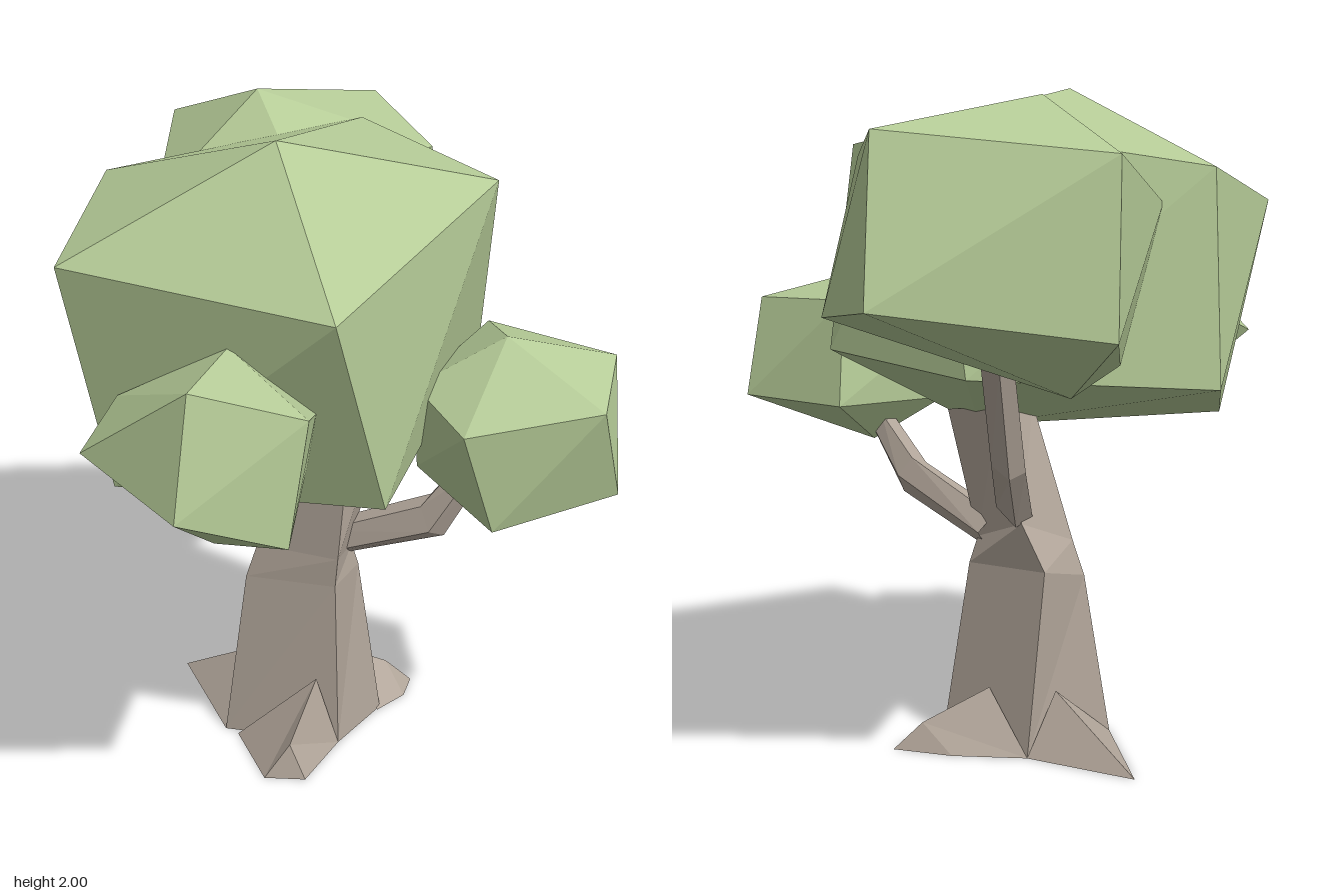
import * as THREE from 'three';
import { ConvexGeometry } from 'three/addons/geometries/ConvexGeometry.js';

const leaf = new THREE.MeshStandardMaterial({ color: 0xb5cb97, flatShading: true });
const bark = new THREE.MeshStandardMaterial({ color: 0xb3a79b, flatShading: true, side: THREE.DoubleSide });

// Faceted crown spanned by a few corner points
function crown(name, corners) {
  const geometry = new ConvexGeometry(corners.map((c) => new THREE.Vector3(...c)));
  const mesh = new THREE.Mesh(geometry, leaf);
  mesh.name = name;
  return mesh;
}

// Bark skin through sections of equal point count: open at the start, capped at the end.
// A closed section is a full ring; an open one is an arch standing on the ground.
function loft(name, sections, closed = true) {
  const n = sections[0].length;
  const index = [];
  for (let s = 0; s < sections.length - 1; s++) {
    for (let i = 0; i < (closed ? n : n - 1); i++) {
      const a = s * n + i, b = s * n + ((i + 1) % n);
      index.push(a, a + n, b, b, a + n, b + n);
    }
  }
  const end = (sections.length - 1) * n;
  for (let i = 1; i < n - 1; i++) index.push(end, end + i + 1, end + i);
  const geometry = new THREE.BufferGeometry();
  geometry.setAttribute('position', new THREE.Float32BufferAttribute(sections.flat(2), 3));
  geometry.setIndex(index);
  geometry.computeVertexNormals();
  const mesh = new THREE.Mesh(geometry, bark);
  mesh.name = name;
  return mesh;
}

// Five-sided branch section, tilted forward about the x axis
function ring(x, y, z, width, depth, tilt) {
  return Array.from({ length: 5 }, (_, i) => {
    const a = (i / 5) * Math.PI * 2;
    const v = depth * Math.sin(a);
    return [x + width * Math.cos(a), y - v * Math.sin(tilt), z + v * Math.cos(tilt)];
  });
}

export function createModel() {
  const tree = new THREE.Group();
  tree.name = 'tree';

  // Four-sided leaning trunk: right front, left front, left back, right back corners
  tree.add(loft('trunk', [
    [[0.27, 0, 0.13], [0.02, 0, 0.2], [-0.2, 0, -0.1], [0.15, 0, -0.2]],
    [[0.19, 0.55, 0.1], [0, 0.57, 0.2], [-0.1, 0.52, -0.11], [0.09, 0.57, -0.2]],
    [[0.16, 0.63, 0.1], [0.01, 0.66, 0.2], [-0.07, 0.63, -0.09], [0.13, 0.71, -0.13]],
    [[0.24, 1.03, 0.14], [0.05, 1.02, 0.2], [0.02, 1.05, 0], [0.17, 1.06, -0.06]],
  ]));

  // Bent branches
  tree.add(loft('frontBranch', [
    ring(0.12, 0.65, 0.06, 0.06, 0.06, 1.2),
    ring(0.26, 0.79, 0.36, 0.05, 0.07, 1.1),
    ring(0.33, 0.97, 0.45, 0.04, 0.045, 0.4),
  ]));
  tree.add(loft('backBranch', [
    ring(0.13, 0.76, -0.08, 0.06, 0.08, -0.9),
    ring(0.25, 0.93, -0.27, 0.055, 0.06, -0.8),
    ring(0.36, 1.25, -0.41, 0.05, 0.05, -0.3),
  ]));

  // Roots as arches running outward from the trunk foot
  tree.add(loft('frontRoot', [
    [[-0.19, 0, -0.05], [-0.04, 0.24, 0.16], [0.02, 0, 0.2]],
    [[-0.29, 0, 0.2], [-0.22, 0.11, 0.24], [-0.2, 0, 0.29]],
  ], false));
  const rightTip = [0.47, 0, 0.07];
  tree.add(loft('rightRoot', [
    [[0.25, 0, 0.14], [0.2, 0.19, -0.05], [0.15, 0, -0.2]],
    [[0.38, 0, 0.13], [0.39, 0.085, 0.03], [0.34, 0, -0.07]],
    [rightTip, rightTip, rightTip],
  ], false));
  const backTip = [-0.04, 0, -0.51];
  tree.add(loft('backRoot', [
    [[0.15, 0, -0.2], [0.04, 0.19, -0.18], [-0.2, 0, -0.1]],
    [backTip, backTip, backTip],
  ], false));

  // Large central crown
  tree.add(crown('mainCrown', [
    [-0.2, 2, 0.16], [-0.71, 1.66, -0.19], [-0.39, 1.63, 0.62], [0.42, 1.83, 0.42],
    [0.44, 1.9, -0.18], [-0.26, 1.78, -0.56], [-0.17, 1.03, 0.59], [0.6, 1.23, 0.2],
    [-0.26, 1.15, -0.6], [-0.6, 0.99, -0.1], [0.41, 1.19, -0.32], [0.1, 0.96, 0.2],
  ]));

  // Upper back crown
  tree.add(crown('backCrown', [
    [0.22, 1.98, -0.42], [0.75, 1.89, -0.45], [0.6, 1.81, -0.03], [0.24, 1.83, -0.87],
    [0.84, 1.43, -0.6], [0.27, 1.35, -0.91], [0.77, 1.37, -0.15], [0.46, 1.31, -0.09],
    [0.22, 1.16, -0.58], [-0.13, 1.68, -0.49], [0.02, 1.23, -0.51], [0.12, 1.75, -0.1],
  ]));

  // Small crown on the front branch
  tree.add(crown('frontCrown', [
    [0.3, 1.43, 0.59], [0.03, 1.22, 0.69], [0.37, 1.27, 0.91], [0.61, 1.34, 0.74],
    [0.5, 1.36, 0.33], [0.7, 1.04, 0.65], [0.5, 0.97, 0.87], [0.13, 0.91, 0.72],
    [0.35, 0.9, 0.45], [0.54, 1.04, 0.28], [0.1, 1.28, 0.42], [0.12, 1.02, 0.42],
  ]));

  // Small crown at the side
  tree.add(crown('sideCrown', [
    [-0.75, 1.49, 0.45], [-0.49, 1.4, 0.63], [-0.56, 1.05, 0.63], [-0.84, 1.16, 0.5],
    [-0.83, 1.22, 0.07], [-0.55, 0.94, 0.3], [-0.27, 0.94, 0.29], [-0.49, 1.51, 0.3],
    [-0.31, 1.15, 0.42], [-0.62, 1.3, -0.04], [-0.35, 1.34, 0.5], [-0.5, 1.02, 0.06],
  ]));

  return tree;
}
